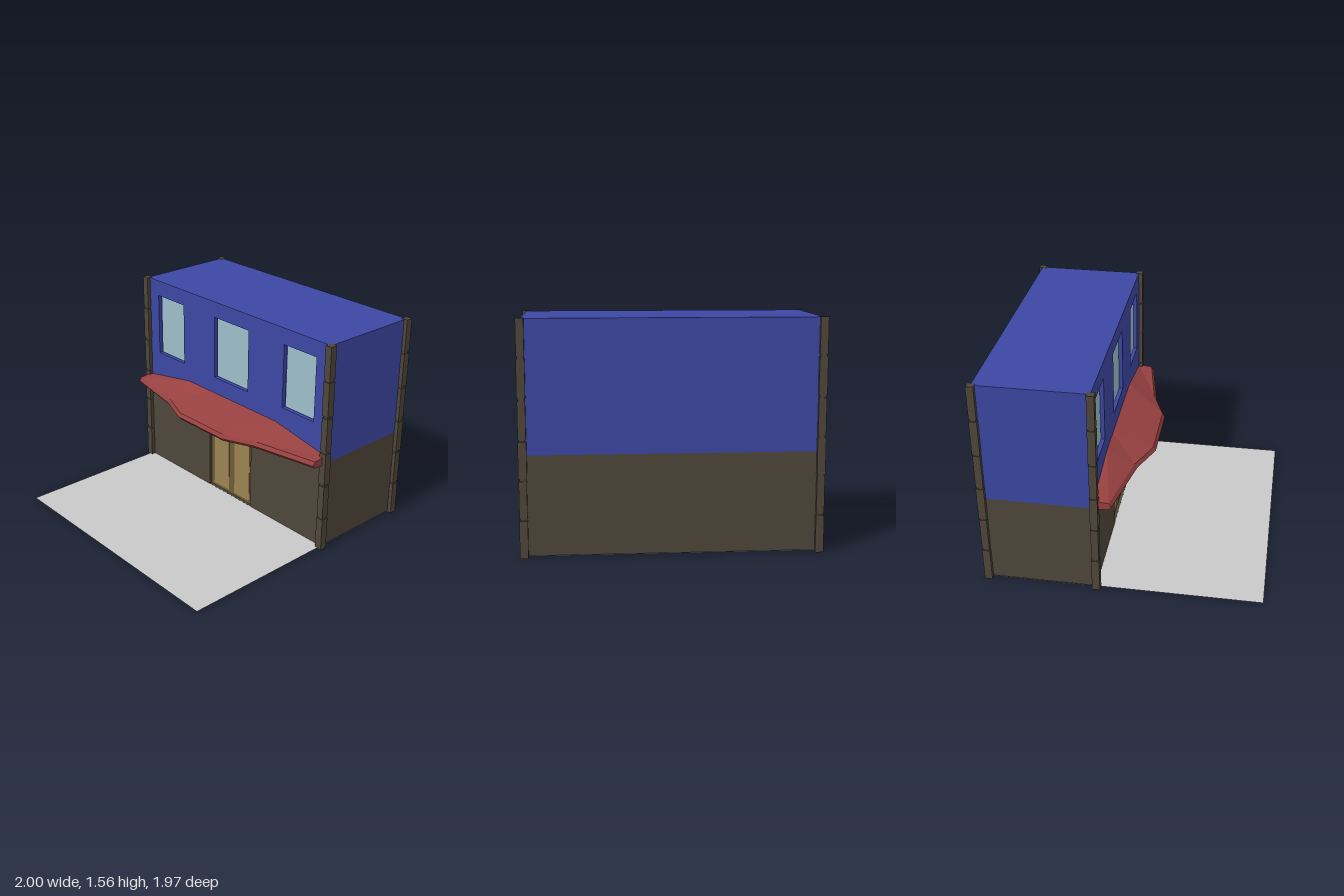
import * as THREE from 'three';

const mat = (name, color) => {
  const m = new THREE.MeshStandardMaterial({ color });
  m.name = name;
  return m;
};

export function createModel() {
  const group = new THREE.Group();
  const blue = mat('blue plaster', 0x3c47a3);
  const stone = mat('brown stone', 0x4f463a);
  const red = mat('red awning', 0x974040);
  const glass = mat('pale glass', 0x9dbfcb);
  const frame = mat('door frame', 0x6c5b37);
  const panel = mat('door panel', 0x9b8350);
  const grey = mat('grey pavement', 0xc9c9c9);
  grey.side = THREE.DoubleSide;

  const add = (name, geo, material, parent = group) => {
    const mesh = new THREE.Mesh(geo, material);
    mesh.name = name;
    parent.add(mesh);
    return mesh;
  };
  // Box given by its extents on each axis
  const box = (name, material, [x0, x1], [y0, y1], [z0, z1], parent) => {
    const mesh = add(name, new THREE.BoxGeometry(x1 - x0, y1 - y0, z1 - z0), material, parent);
    mesh.position.set((x0 + x1) / 2, (y0 + y1) / 2, (z0 + z1) / 2);
    return mesh;
  };
  const rect = (C, x0, x1, y0, y1) => new C([
    new THREE.Vector2(x0, y0), new THREE.Vector2(x1, y0),
    new THREE.Vector2(x1, y1), new THREE.Vector2(x0, y1),
  ]);

  const W = 0.97, FRONT = -0.185, BACK = -0.96, DEPTH = 0.03;
  const BASE = 0.012, SPLIT = 0.68, TOP = 1.56, INNER = FRONT - DEPTH;

  // Pavement
  const ground = add('pavement', new THREE.PlaneGeometry(2 * W, 0.985 - BACK), grey);
  ground.rotation.x = -Math.PI / 2;
  ground.position.set(0, 0.01, (0.985 + BACK) / 2);

  // Two storeys behind the front wall
  box('lowerStorey', stone, [-W, W], [BASE, SPLIT], [BACK, INNER]);
  box('upperStorey', blue, [-W, W], [SPLIT, TOP], [BACK, INNER]);

  // Front wall with openings
  const wall = (name, material, y0, y1, holes) => {
    const shape = rect(THREE.Shape, -W, W, y0, y1);
    shape.holes = holes.map((h) => rect(THREE.Path, ...h));
    const mesh = add(name, new THREE.ExtrudeGeometry(shape, { depth: DEPTH, bevelEnabled: false }), material);
    mesh.position.z = INNER;
  };
  const windows = [[-0.845, -0.54], [-0.185, 0.182], [0.54, 0.845]];
  wall('upperFrontWall', blue, SPLIT, TOP, windows.map(([a, b]) => [a, b, 0.96, 1.44]));
  wall('lowerFrontWall', stone, BASE, SPLIT, [[-0.235, 0.23, BASE + 0.001, 0.65]]);
  for (const [a, b] of windows) {
    box('windowPane', glass, [a + 0.012, b - 0.012], [0.966, 1.428], [INNER, INNER + 0.004]);
  }

  // Double door
  const door = new THREE.Group();
  door.name = 'door';
  group.add(door);
  box('doorFrame', frame, [-0.235, 0.23], [BASE + 0.001, 0.65], [INNER, INNER + 0.008], door);
  for (const x of [[-0.2, -0.033], [0.03, 0.197]]) {
    box('doorPanel', panel, x, [0.036, 0.632], [INNER + 0.008, INNER + 0.012], door);
  }

  // Corner pillars: stacked blocks with shallow joints
  const joints = [0, 0.26, 0.522, 0.78, 1.045, 1.313, TOP + 0.003];
  for (const side of [-1, 1]) {
    for (const z of [-0.182, -0.958]) {
      const pillar = new THREE.Group();
      pillar.name = 'cornerPillar';
      pillar.position.set(side * 0.9725, 0, z);
      group.add(pillar);
      box('pillarCore', stone, [-0.021, 0.021], [0.01, TOP - 0.01], [-0.021, 0.021], pillar);
      for (let i = 0; i < 6; i++) {
        const r = 0.0275 - (i % 2) * 0.0015;
        const y0 = joints[i] + (i ? 0.008 : 0), y1 = joints[i + 1] - (i < 5 ? 0.008 : 0);
        box('pillarBlock', stone, [-r, r], [y0, y1], [-r, r], pillar);
      }
    }
  }

  // Awning: cross-sections along x, each [x, front z, height at the wall]
  const half = [[0.24, 0.128, 0.83], [0.48, 0.03, 0.83], [0.97, -0.065, 0.742]];
  const stations = [...half.map(([x, z, y]) => [-x, z, y]).reverse(), ...half];
  const section = ([x, zf, yt]) => [
    [x, 0.68, FRONT], [x, 0.68, zf - 0.022], [x, 0.705, zf], [x, 0.733, zf - 0.018], [x, yt, FRONT],
  ];
  const rings = stations.map(section);
  const pos = [];
  const tri = (...pts) => pts.forEach((p) => pos.push(...p));
  for (let i = 0; i < rings.length - 1; i++) {
    for (let j = 0; j < 5; j++) {
      const k = (j + 1) % 5;
      const [a, b, c, d] = [rings[i][j], rings[i + 1][j], rings[i + 1][k], rings[i][k]];
      tri(a, b, c, a, c, d);
    }
  }
  const [first, last] = [rings[0], rings[rings.length - 1]];
  for (let j = 1; j < 4; j++) {
    tri(first[0], first[j], first[j + 1]);
    tri(last[0], last[j + 1], last[j]);
  }
  const awning = new THREE.BufferGeometry();
  awning.setAttribute('position', new THREE.Float32BufferAttribute(pos, 3));
  awning.computeVertexNormals();
  add('awning', awning, red);

  return group;
}
